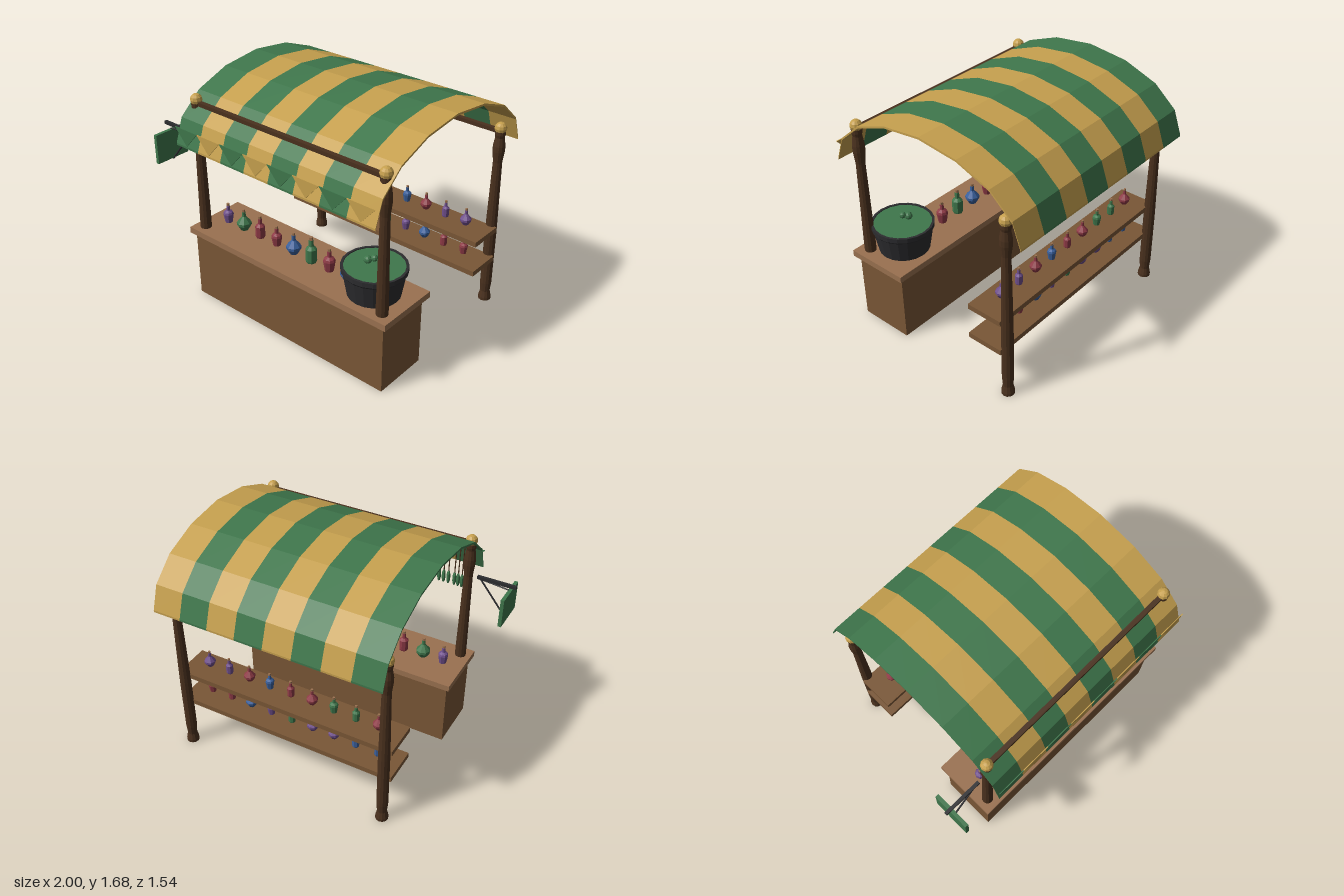
import * as THREE from 'three';

const mat = (name, hex) => {
  const m = new THREE.MeshStandardMaterial({ color: hex });
  m.name = name;
  return m;
};

export function createModel() {
  const M = {
    green: mat('green', 0x3f774c),
    gold: mat('gold', 0xc6a04e),
    darkWood: mat('dark wood', 0x4a311e),
    wood: mat('wood', 0x7a5736),
    lightWood: mat('light wood', 0x9a7150),
    purple: mat('purple glass', 0x6f4f8c),
    red: mat('red glass', 0x8e3a46),
    blue: mat('blue glass', 0x3a609c),
    iron: mat('iron', 0x2c2c2f),
  };
  const root = new THREE.Group();
  root.name = 'marketStall';

  // Faceted mesh placed at a position
  const add = (name, geo, material, x = 0, y = 0, z = 0, parent = root) => {
    const g = geo.index ? geo.toNonIndexed() : geo;
    g.computeVertexNormals();
    const mesh = new THREE.Mesh(g, material);
    mesh.name = name;
    mesh.position.set(x, y, z);
    parent.add(mesh);
    return mesh;
  };
  const box = (name, material, x0, x1, y0, y1, z0, z1) =>
    add(name, new THREE.BoxGeometry(x1 - x0, y1 - y0, z1 - z0), material,
      (x0 + x1) / 2, (y0 + y1) / 2, (z0 + z1) / 2);
  const lathe = (pts, sides) =>
    new THREE.LatheGeometry(pts.map(([r, y]) => new THREE.Vector2(r, y)), sides);
  const rod = (name, material, a, b, r) => {
    const va = new THREE.Vector3(...a), vb = new THREE.Vector3(...b);
    const d = vb.clone().sub(va);
    const m = add(name, new THREE.CylinderGeometry(r, r, d.length(), 6), material);
    m.position.copy(va).add(vb).multiplyScalar(0.5);
    m.quaternion.setFromUnitVectors(new THREE.Vector3(0, 1, 0), d.normalize());
    return m;
  };

  const L = -0.7, R = 0.965, postX = [-0.652, 0.914];

  // Counter
  box('counterBody', M.wood, L, R, 0, 0.505, 0.265, 0.665);
  box('counterTop', M.lightWood, -0.73, 1.0, 0.505, 0.55, 0.232, 0.695);

  // Turned posts with ball finials, and the rails between them
  const post = h => lathe([[0, 0], [0.045, 0], [0.045, 0.02], [0.034, 0.07], [0.04, 0.14],
    [0.04, h * 0.42], [0.031, h * 0.83], [0.041, h * 0.89], [0.041, h * 0.92],
    [0.031, h * 0.965], [0.036, h * 0.98], [0.036, h], [0, h]], 12);
  for (const [end, z, h] of [['front', 0.613, 1.5], ['back', -0.615, 1.335]]) {
    for (const x of postX) {
      add(end + 'Post', post(h), M.darkWood, x, 0, z);
      add(end + 'Finial', new THREE.SphereGeometry(0.042, 10, 6), M.gold, x, h + 0.018, z);
    }
    box(end + 'Rail', M.darkWood, postX[0], postX[1], h - 0.018, h + 0.01, z - 0.016, z + 0.016);
  }

  // Arched striped canopy with triangular pennants along the front
  const half = [[0.295, 1.648], [0.543, 1.555], [0.708, 1.412], [0.768, 1.245]];
  const arch = [...half.map(([z, y]) => [-z, y]).reverse(), [0, 1.683], ...half];
  const profile = new THREE.Shape([
    ...arch.map(([z, y]) => new THREE.Vector2(-z, y)),
    ...arch.slice().reverse().map(([z, y]) => new THREE.Vector2(-z, y - 0.014)),
  ]);
  const w = (R - L) / 8;
  const pennant = new THREE.Shape([
    new THREE.Vector2(0, 1.25), new THREE.Vector2(w / 2, 1.367), new THREE.Vector2(-w / 2, 1.367)]);
  for (let i = 0; i < 8; i++) {
    const m = i % 2 ? M.gold : M.green;
    const stripe = new THREE.ExtrudeGeometry(profile, { depth: w, bevelEnabled: false });
    add('canopyStripe', stripe.rotateY(Math.PI / 2), m, L + i * w, 0, 0);
    add('pennant', new THREE.ExtrudeGeometry(pennant, { depth: 0.006, bevelEnabled: false }),
      m, L + (i + 0.5) * w, 0, 0.765);
  }

  // Back shelves
  box('upperShelf', M.wood, L, R, 0.582, 0.62, -0.6, -0.338);
  box('lowerShelf', M.wood, L, R, 0.347, 0.385, -0.6, -0.338);

  // Bottles: body outlines by shape, [radius, height]
  const bodies = {
    round: [[0, 0], [0.022, 0], [0.04, 0.03], [0.04, 0.045], [0.015, 0.075], [0.011, 0.08]],
    tall: [[0, 0], [0.023, 0], [0.025, 0.008], [0.025, 0.065], [0.012, 0.078], [0.011, 0.08]],
    jug: [[0, 0], [0.022, 0], [0.031, 0.055], [0.027, 0.068], [0.012, 0.078], [0.011, 0.08]],
  };
  const bottle = (shape, color, x, y, z, s) => {
    const g = new THREE.Group();
    g.name = shape + 'Bottle';
    g.position.set(x, y, z);
    g.scale.setScalar(s);
    root.add(g);
    add('bottleBody', lathe([...bodies[shape], [0.01, 0.108], [0, 0.108]], 8), M[color], 0, 0, 0, g);
    add('cork', new THREE.CylinderGeometry(0.009, 0.009, 0.016, 6), M.lightWood, 0, 0.115, 0, g);
  };
  [['jug', 'purple'], ['round', 'green'], ['tall', 'red'], ['jug', 'red'], ['round', 'blue'],
    ['tall', 'green'], ['jug', 'red'], ['round', 'blue']].forEach(([shape, c], i) =>
    bottle(shape, c, -0.577 + i * 0.157, 0.55, 0.465,
      shape === 'tall' ? (c === 'green' ? 1.55 : 1.35) : shape === 'jug' ? 1.2 + (i === 6 ? 0.15 : 0) : 1.3));
  const shelfRows = [
    [0.642, [['round', 'red'], ['tall', 'green'], ['jug', 'green'], ['round', 'red'], ['tall', 'red'],
      ['jug', 'blue'], ['round', 'red'], ['tall', 'purple'], ['round', 'purple']]],
    [0.407, [['tall', 'blue'], ['tall', 'blue'], ['round', 'purple'], ['round', 'purple'], ['tall', 'green'],
      ['jug', 'purple'], ['round', 'blue'], ['tall', 'red'], ['jug', 'red']]],
  ];
  for (const [y, row] of shelfRows)
    row.forEach(([shape, c], i) => bottle(shape, c, -0.535 + i * 0.1663, y, -0.468, 1));

  // Cauldron with bubbling brew
  const px = 0.735, pz = 0.465;
  add('cauldron', lathe([[0, 0.55], [0.175, 0.55], [0.203, 0.71], [0.215, 0.725], [0.215, 0.757],
    [0.198, 0.757], [0.195, 0.735]], 20), M.iron, px, 0, pz);
  add('brew', new THREE.CylinderGeometry(0.198, 0.198, 0.01, 20), M.green, px, 0.747, pz);
  for (const [x, y, z, r] of [[0.68, 0.77, 0.465, 0.028], [0.732, 0.803, 0.465, 0.023]])
    add('bubble', new THREE.SphereGeometry(r, 8, 6), M.green, x, y, z);

  // Herb bundles strung from the front rail
  for (const x of [-0.608, -0.58, -0.552, -0.507, -0.472, -0.438]) {
    rod('herbString', M.darkWood, [x, 1.49, 0.613], [x, 1.22, 0.613], 0.004);
    add('herbBundle', new THREE.SphereGeometry(0.015, 6, 6).scale(1, 3.6, 1), M.green, x, 1.18, 0.613);
  }

  // Hanging sign on its bracket
  box('signArm', M.iron, -1.0, -0.72, 1.24, 1.262, 0.597, 0.619);
  rod('signBrace', M.iron, [-0.74, 1.245, 0.608], [-0.95, 0.987, 0.608], 0.006);
  rod('signTie', M.iron, [-0.74, 1.24, 0.608], [-0.95, 1.218, 0.608], 0.005);
  box('signBoard', M.green, -0.967, -0.942, 0.995, 1.21, 0.48, 0.745);

  return root;
}
